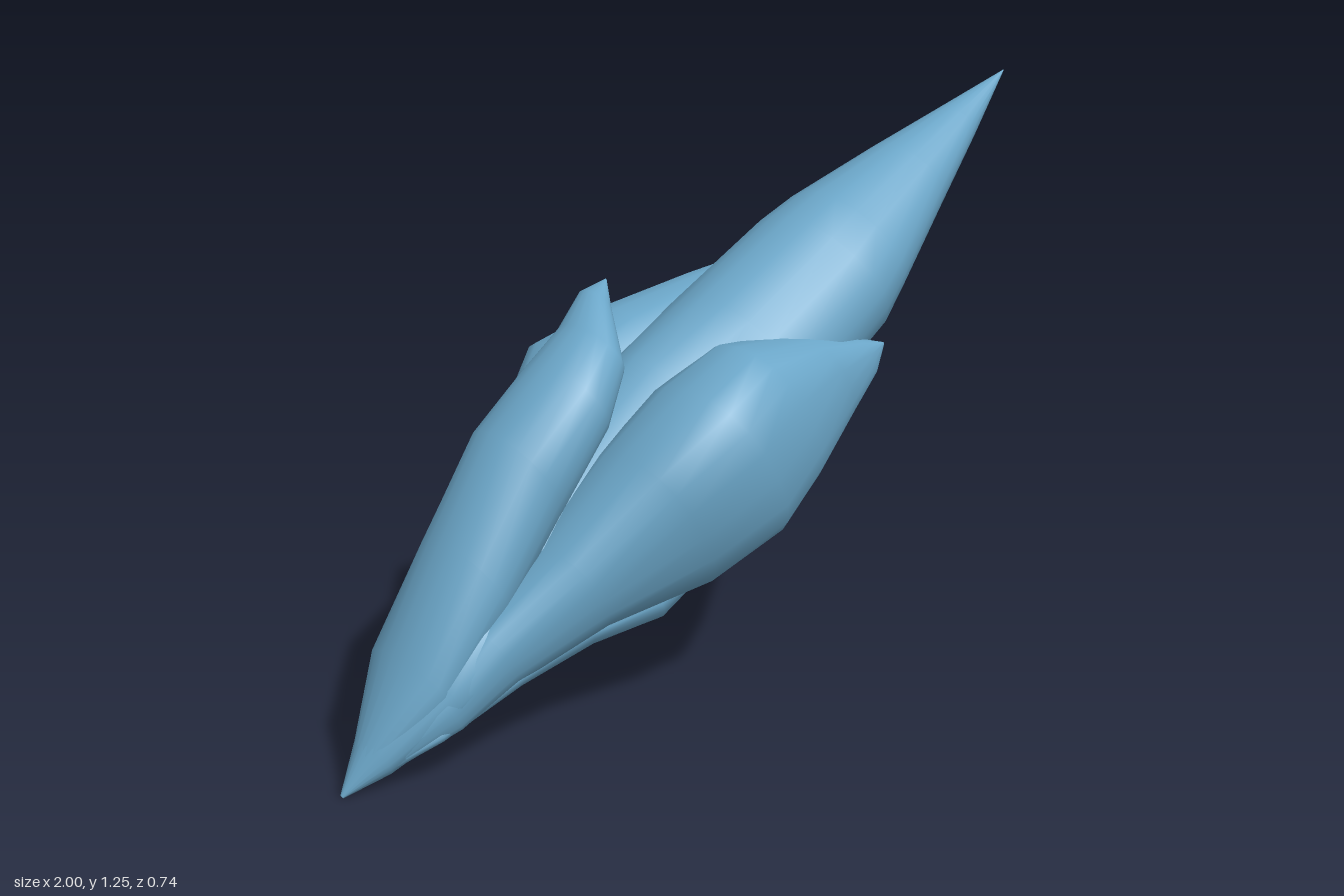
import * as THREE from 'three';

const SIDES = 20;

// Loft along local x. Each row: [along, height, z, half height, half width].
// Power below 1 gives a boxy section, above 1 a ridged one; lean shifts the top in z.
function loft(rows, power, lean) {
  const pos = [], idx = [];
  const bend = (t) => Math.sign(t) * Math.abs(t) ** power;
  rows.forEach(([u, v, z, hv, hz]) => {
    for (let j = 0; j < SIDES; j++) {
      const a = (j / SIDES) * Math.PI * 2;
      const dv = hv * bend(Math.cos(a));
      pos.push(u, v + dv, z + hz * bend(Math.sin(a)) + lean * dv);
    }
  });
  for (let i = 0; i < rows.length - 1; i++) {
    for (let j = 0; j < SIDES; j++) {
      const k = (j + 1) % SIDES;
      const a = i * SIDES + j, b = i * SIDES + k, c = a + SIDES, d = b + SIDES;
      idx.push(a, b, c, b, d, c);
    }
  }
  const g = new THREE.BufferGeometry();
  g.setAttribute('position', new THREE.Float32BufferAttribute(pos, 3));
  g.setIndex(idx);
  g.computeVertexNormals();
  return g;
}

export function createModel() {
  const model = new THREE.Group();
  model.name = 'closedBud';
  const blue = new THREE.MeshStandardMaterial({ color: 0x6ba6c8 });
  blue.name = 'dusty blue';

  // The bud is built along x, then tilted so its base touches the ground
  const bud = new THREE.Group();
  bud.name = 'tiltedBud';
  bud.position.x = -1;
  bud.rotation.z = Math.atan2(1.25, 2);
  model.add(bud);

  const add = (name, power, lean, rows) => {
    const mesh = new THREE.Mesh(loft(rows, power, lean), blue);
    mesh.name = name;
    bud.add(mesh);
  };

  // Pointed heart of the bud with the flared base
  add('core', 1.1, 0, [
    [0, 0, 0, 0.004, 0.004], [0.1, 0.01, 0, 0.05, 0.055], [0.27, 0.045, 0, 0.105, 0.135],
    [0.4, 0.04, 0, 0.135, 0.15], [0.55, 0.03, 0, 0.15, 0.14], [0.8, 0.015, 0, 0.185, 0.155],
    [1.08, 0.01, 0, 0.215, 0.19], [1.3, 0, 0, 0.2, 0.215], [1.6, -0.005, 0, 0.183, 0.205],
    [1.7, 0, 0, 0.165, 0.182], [1.945, 0.003, 0, 0.102, 0.12], [2.15, 0, 0, 0.053, 0.062],
    [2.358, 0, 0, 0.001, 0.001],
  ]);

  // Upper petal, its tip curling away from the core
  add('upperPetal', 1, 0, [
    [0.05, 0.01, 0, 0.02, 0.02], [0.26, 0.08, 0, 0.075, 0.12], [0.48, 0.155, 0, 0.11, 0.125],
    [0.7, 0.24, 0, 0.125, 0.125], [0.88, 0.296, 0.015, 0.096, 0.125], [1.0, 0.316, -0.01, 0.07, 0.1],
    [1.105, 0.345, -0.08, 0.03, 0.05], [1.165, 0.35, -0.1, 0.002, 0.002],
  ]);

  // Lower petal
  add('lowerPetal', 1.15, 0, [
    [0.05, 0, 0, 0.02, 0.02], [0.21, 0, 0, 0.05, 0.11], [0.41, -0.03, 0, 0.07, 0.135],
    [0.594, -0.1, 0, 0.082, 0.13], [0.763, -0.185, 0, 0.1, 0.14], [0.9, -0.215, 0, 0.075, 0.13],
    [1.06, -0.247, 0, 0.04, 0.09], [1.14, -0.252, 0, 0.025, 0.05], [1.17, -0.24, 0, 0.002, 0.01],
  ]);

  // Broad side petals wrapping under the core; the back one reaches further along it
  const side = [
    [0.08, 0, 0.02, 0.02, 0.02], [0.25, 0.02, 0.06, 0.06, 0.07], [0.4, 0.03, 0.08, 0.085, 0.075],
    [0.62, 0.015, 0.1, 0.12, 0.115], [0.85, 0, 0.145, 0.2, 0.155], [1.03, 0.015, 0.19, 0.22, 0.18],
    [1.2, -0.01, 0.17, 0.205, 0.15],
  ];
  add('frontPetal', 0.85, 0.1, [
    ...side, [1.37, -0.065, 0.155, 0.13, 0.105], [1.48, -0.1, 0.175, 0.06, 0.055],
    [1.545, -0.115, 0.195, 0.003, 0.003],
  ]);
  const back = side.map(([u, v, z, hv, hz]) => [u, v + 0.01 * u, -z, hv, hz]);
  add('backPetal', 0.85, -0.1, [
    ...back, [1.42, -0.03, -0.155, 0.15, 0.11], [1.57, -0.03, -0.185, 0.07, 0.055],
    [1.65, -0.035, -0.22, 0.003, 0.003],
  ]);

  return model;
}
